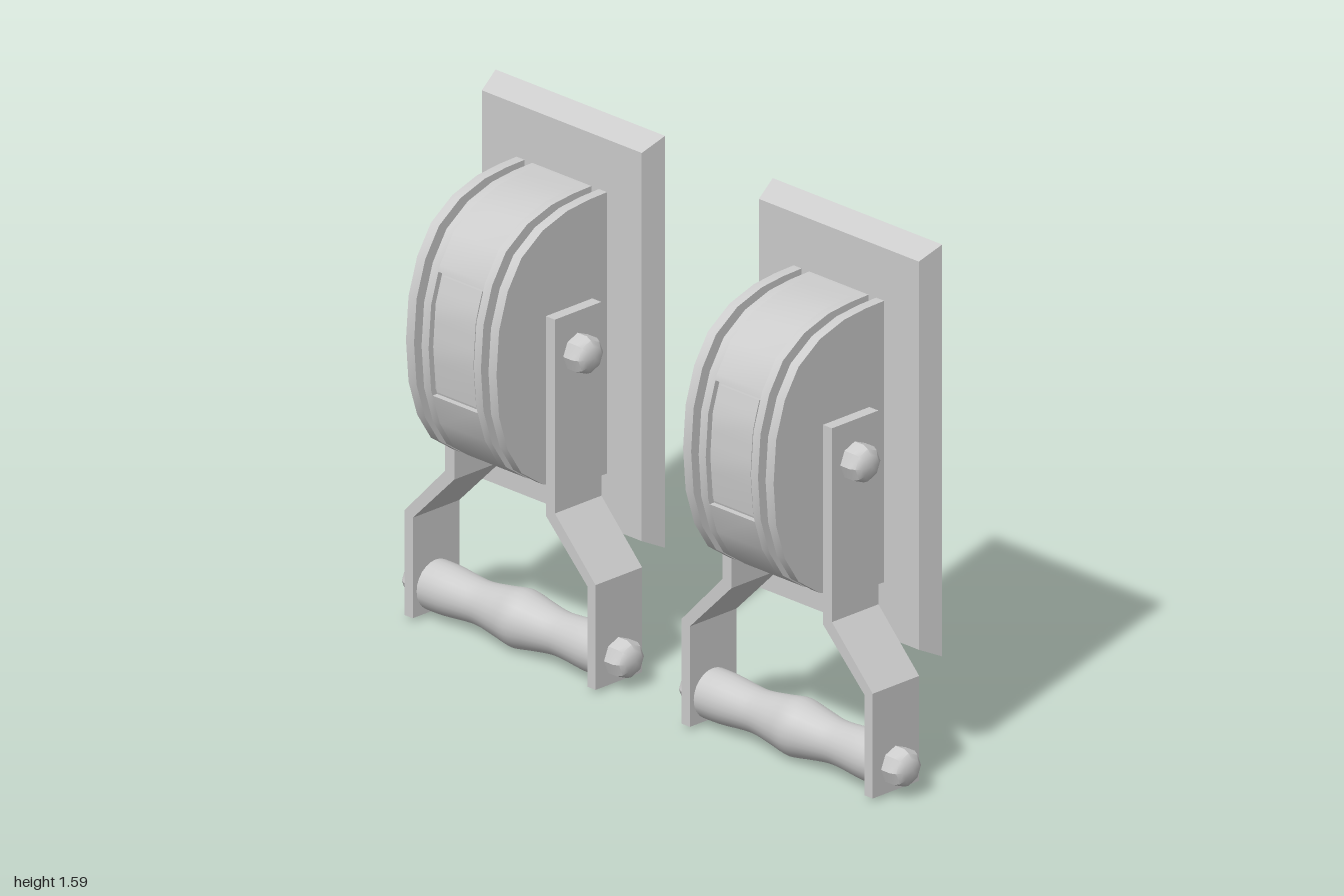
import * as THREE from 'three';
import { toCreasedNormals } from 'three/addons/utils/BufferGeometryUtils.js';

const grey = new THREE.MeshStandardMaterial({ color: 0xcccccc });
const greyDouble = new THREE.MeshStandardMaterial({ color: 0xcccccc, side: THREE.DoubleSide });

const DRUM_Y = 0.962, BACK_Z = -0.18, AXIS_Z = -0.027;

// Upper half of the drum outline as [z, height above the drum centre]
const HALF = [[-0.184, 0.427], [-0.107, 0.425], [-0.023, 0.416], [0.073, 0.385],
  [0.157, 0.326], [0.211, 0.24], [0.245, 0.13], [0.255, 0]];
const OUTLINE = [...HALF, ...HALF.slice(0, -1).reverse().map(([z, y]) => [z, -y])];

function mesh(name, geometry, material = grey) {
  const m = new THREE.Mesh(geometry, material);
  m.name = name;
  return m;
}

// Forward reach of the outline at a given height
function reach(y) {
  for (let i = 0; i < OUTLINE.length - 1; i++) {
    const [za, ya] = OUTLINE[i], [zb, yb] = OUTLINE[i + 1];
    if (y <= ya && y >= yb) return za + (zb - za) * (ya - y) / (ya - yb);
  }
  return BACK_Z;
}

// Outline shrunk evenly towards the middle of its back edge
function shrunk(depth) {
  const s = 1 - depth / 0.43;
  return OUTLINE.map(([z, y], i) =>
    [i === 0 || i === OUTLINE.length - 1 ? z : BACK_Z + (z - BACK_Z) * s, y * s]);
}

// Outline with a shallow window pressed into its front
function windowed(top, bottom, depth) {
  const inside = OUTLINE.filter(p => p[1] < top && p[1] > bottom).map(([z, y]) => [z - depth, y]);
  return [
    ...OUTLINE.filter(p => p[1] >= top), [reach(top), top], [reach(top) - depth, top],
    ...inside,
    [reach(bottom) - depth, bottom], [reach(bottom), bottom], ...OUTLINE.filter(p => p[1] <= bottom),
  ];
}

// Slice of the drum between two x positions
function band(points, x0, x1) {
  const shape = new THREE.Shape(points.map(([z, y]) => new THREE.Vector2(z, y)));
  const g = new THREE.ExtrudeGeometry(shape, { depth: x1 - x0, bevelEnabled: false });
  g.rotateY(-Math.PI / 2).translate(x1, DRUM_Y, 0);
  return toCreasedNormals(g, 0.6);
}

function makeDrum() {
  const drum = new THREE.Group();
  drum.name = 'drum';
  drum.add(mesh('drumGroove', band(shrunk(0.045), -0.16, 0.16)));
  for (const s of [-1, 1]) {
    const c = s * 0.164, e = s * 0.104;
    drum.add(mesh('drumFlange', band(OUTLINE, c - 0.016, c + 0.016)));
    drum.add(mesh('drumEdge', band(OUTLINE, e - 0.014, e + 0.014)));
  }
  drum.add(mesh('drumCore', band(windowed(0.222, -0.147, 0.018), -0.09, 0.09)));
  // Raised pad inside the window
  const pad = [];
  for (let i = 0; i <= 8; i++) {
    const y = 0.21 - i * (0.345 / 8);
    pad.push([reach(y) - 0.01, y]);
  }
  pad.push([0.18, -0.135], [0.18, 0.21]);
  drum.add(mesh('windowPad', band(pad, -0.078, 0.078)));
  return drum;
}

// Hollow back plate: a box with its front drawn in and its back left open
function makeBackPlate() {
  const g = new THREE.BoxGeometry(0.674, 1.25, 0.073);
  g.setIndex([...g.index.array].slice(0, 30));
  const p = g.attributes.position;
  for (let i = 0; i < p.count; i++) {
    if (p.getZ(i) > 0) {
      p.setX(i, p.getX(i) - Math.sign(p.getX(i)) * 0.019);
      p.setY(i, p.getY(i) - Math.sign(p.getY(i)) * 0.036);
    }
  }
  g.computeVertexNormals();
  g.translate(0, 0.96, BACK_Z - 0.0365);
  return mesh('backPlate', g, greyDouble);
}

// Bent strap on one side
function makeStrap(side) {
  const pts = [[0.182, 1.085], [0.182, 0.48], [0.347, 0.315], [0.347, 0.01],
    [0.38, 0.01], [0.38, 0.328], [0.218, 0.497], [0.218, 1.085]];
  const shape = new THREE.Shape(pts.map(([x, y]) => new THREE.Vector2(side * x, y)));
  const g = new THREE.ExtrudeGeometry(shape, { depth: 0.183, bevelEnabled: false });
  return mesh('strap', g.translate(0, 0, -0.12));
}

// Eight-sided bolt head with a domed end
function makeBolt(side, x, y) {
  const profile = [[0.057, -0.005], [0.057, 0.036], [0.049, 0.052], [0.034, 0.064], [0, 0.07]]
    .map(([r, h]) => new THREE.Vector2(r, h));
  const g = toCreasedNormals(new THREE.LatheGeometry(profile, 8), 0.7);
  g.rotateZ(-side * Math.PI / 2).translate(side * x, y, AXIS_Z);
  return mesh('bolt', g);
}

// Turned grip: thick ends, two waists and a swollen middle
function makeGrip() {
  const half = [[0.075, 0.35], [0.074, 0.28], [0.066, 0.19], [0.066, 0.14], [0.078, 0.06]];
  const curve = new THREE.SplineCurve([
    ...half.map(([r, h]) => new THREE.Vector2(r, -h)), new THREE.Vector2(0.087, 0),
    ...half.slice().reverse().map(([r, h]) => new THREE.Vector2(r, h)),
  ]);
  const g = new THREE.LatheGeometry(curve.getPoints(40), 24);
  g.rotateZ(-Math.PI / 2).translate(0, 0.087, AXIS_Z);
  return mesh('grip', g);
}

function makeUnit() {
  const unit = new THREE.Group();
  unit.name = 'handleUnit';
  unit.add(makeBackPlate(), makeDrum(), makeGrip());
  for (const side of [-1, 1]) {
    unit.add(makeStrap(side), makeBolt(side, 0.218, 0.962), makeBolt(side, 0.38, 0.087));
  }
  return unit;
}

export function createModel() {
  const model = new THREE.Group();
  model.name = 'pairOfHandles';
  for (const x of [-0.551, 0.551]) {
    const unit = makeUnit();
    unit.position.x = x;
    model.add(unit);
  }
  return model;
}
